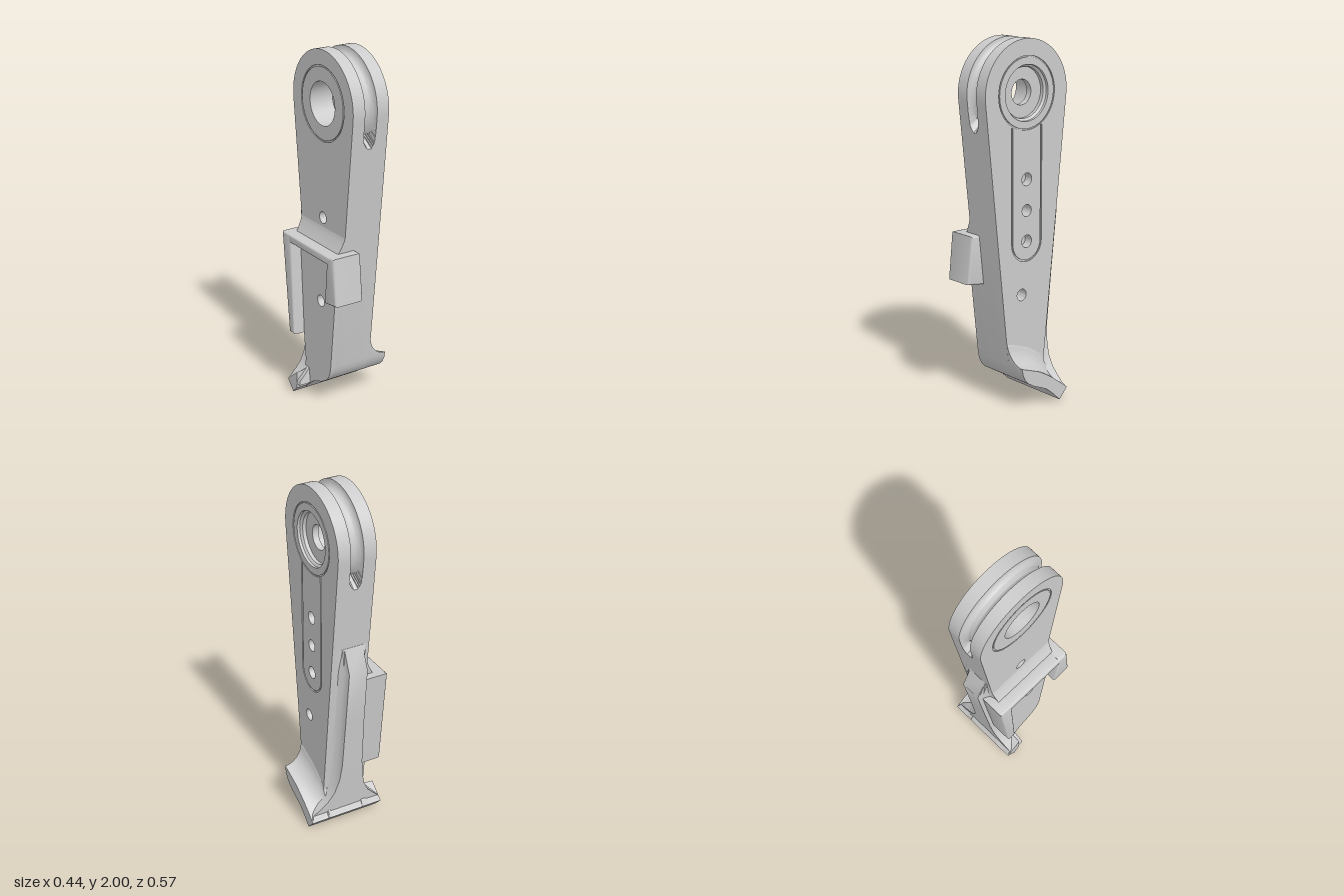
import * as THREE from 'three';
import { toCreasedNormals } from 'three/addons/utils/BufferGeometryUtils.js';

const HEAD_Y = 1.715, HEAD_R = 0.285, TAPER = 0.106;
const X_FACE = 0.11, X_FLOOR = 0.103, X_PLATE = -0.148;
const mat = new THREE.MeshStandardMaterial({ color: 0xcccccc, side: THREE.DoubleSide });

// Half depth of the tapering arm at a height
const half = (y) => 0.2834 - TAPER * (1.685 - y);
const lerp = THREE.MathUtils.lerp;

function add(group, name, geometry, crease = 0.6) {
  const mesh = new THREE.Mesh(toCreasedNormals(geometry, crease), mat);
  mesh.name = name;
  group.add(mesh);
  return mesh;
}

// Side profiles use (u, y) with u = -z and depth along x
const toSide = (g) => g.rotateY(Math.PI / 2);
const toUp = (g) => g.rotateX(-Math.PI / 2);

// Skin over rings of [a, b, w] points, counter-clockwise seen from +w
function loft(rings, capped = true) {
  const n = rings[0].length, index = [];
  for (let i = 0; i < rings.length - 1; i++) {
    for (let j = 0; j < n; j++) {
      const a = i * n + j, b = i * n + (j + 1) % n;
      index.push(a, b, b + n, a, b + n, a + n);
    }
  }
  if (capped) {
    [0, rings.length - 1].forEach((r) => {
      const pts = rings[r].map((p) => new THREE.Vector2(p[0], p[1]));
      for (const [a, b, c] of THREE.ShapeUtils.triangulateShape(pts, [])) {
        if (r) index.push(r * n + a, r * n + b, r * n + c);
        else index.push(a, c, b);
      }
    });
  }
  const g = new THREE.BufferGeometry();
  g.setAttribute('position', new THREE.Float32BufferAttribute(rings.flat(2), 3));
  g.setIndex(index);
  return g;
}

const shapeOf = (pts) => new THREE.Shape(pts.map((p) => new THREE.Vector2(p[0], p[1])));
function holed(pts, circles, extra = []) {
  const s = shapeOf(pts);
  for (const [u, y, r] of circles) s.holes.push(new THREE.Path().absarc(u, y, r, 0, Math.PI * 2, true));
  s.holes.push(...extra);
  return s;
}
function slab(shape, x0, x1, bevel = 0) {
  const g = new THREE.ExtrudeGeometry(shape, {
    depth: x1 - x0 - 2 * bevel, bevelEnabled: bevel > 0, bevelSize: bevel,
    bevelThickness: bevel, bevelOffset: -bevel, bevelSegments: 3, curveSegments: 24,
  });
  return toSide(g.translate(0, 0, x0 + bevel));
}
const face = (shape, x) => toSide(new THREE.ShapeGeometry(shape, 24).translate(0, 0, x));

// Turned surface about an x axis; points are [radius, x]
function turned(u, y, pts) {
  const g = new THREE.LatheGeometry(pts.map((p) => new THREE.Vector2(p[0], p[1])), 40);
  return g.rotateZ(-Math.PI / 2).translate(0, y, -u);
}

// Underside of the foot, front to back tip
const SOLE = [[-0.13, 0.245], [-0.122, 0.21], [-0.105, 0.175], [-0.08, 0.15], [-0.04, 0.126],
  [0, 0.11], [0.05, 0.088], [0.1, 0.048], [0.15, 0]];

function armOutline() {
  const pts = [], a = Math.atan(TAPER), N = 64;
  for (let i = 0; i <= N; i++) {
    const t = -a + (Math.PI + 2 * a) * i / N;
    pts.push([HEAD_R * Math.cos(t), HEAD_Y + HEAD_R * Math.sin(t)]);
  }
  const ys = [];
  for (let y = 1.67; y > 1.4; y -= 0.01) ys.push(y);
  ys.push(0.95);
  ys.forEach((y) => pts.push([-half(y), y]));
  pts.push(...SOLE, [0.205, 0.06], [0.135, 0.13], [half(0.2), 0.2]);
  ys.reverse().forEach((y) => pts.push([half(y), y]));
  return pts;
}

export function createModel() {
  const group = new THREE.Group();
  const outline = armOutline();
  const pin = [-0.035, 0.62, 0.033], mid = [0, 1.085, 0.033];
  const blind = [[0, 1.255, 0.035], [0, 0.915, 0.035]];

  // Rim of the arm, with a round rope groove cut around the head
  const xs = [-X_FACE, -0.037];
  for (let i = 1; i < 14; i++) xs.push(-0.037 * Math.cos(Math.PI * i / 14));
  xs.push(0.037, X_FLOOR);
  const rim = xs.map((x) => outline.map(([u, y]) => {
    const s = Math.sqrt(Math.max(0, 0.037 ** 2 - x * x)) * 1.15;
    const d = Math.hypot(u, y - HEAD_Y);
    if (y < 1.4 || s === 0 || d > HEAD_R + s) return [u, y, x];
    const k = Math.min(d, HEAD_R - s) / d;
    return [u * k, HEAD_Y + (y - HEAD_Y) * k, x];
  }));
  add(group, 'armRim', toSide(loft(rim, false)));

  // Long U-shaped line engraved on the outer face
  const slot = new THREE.Path();
  slot.moveTo(-0.107, 1.54).lineTo(-0.107, 0.91);
  slot.absarc(0, 0.91, 0.107, Math.PI, Math.PI * 2, false);
  slot.lineTo(0.107, 1.54).lineTo(0.098, 1.54).lineTo(0.098, 0.91);
  slot.absarc(0, 0.91, 0.098, Math.PI * 2, Math.PI, true);
  slot.lineTo(-0.098, 1.54);
  const outerHoles = [[0, HEAD_Y, 0.196], pin, mid, ...blind];
  add(group, 'outerFace', slab(holed(outline, outerHoles, [slot]), X_FLOOR, X_FACE));
  add(group, 'engravingFloor', face(holed(outline, outerHoles), X_FLOOR));
  add(group, 'innerFace', face(holed(outline, [[0, HEAD_Y, 0.203], pin, mid]), -X_FACE));

  // Pivot bore with stepped seat, counterbore and face rings
  add(group, 'pivotBore', turned(0, HEAD_Y, [[0.196, X_FACE], [0.196, 0.104], [0.189, 0.104],
    [0.189, X_FACE], [0.15, X_FACE], [0.15, 0.095], [0.137, 0.085], [0.137, 0.065], [0.068, 0.065],
    [0.068, 0.03], [0.118, 0.03], [0.118, -X_FACE], [0.195, -X_FACE], [0.195, -0.104],
    [0.203, -0.104], [0.203, -X_FACE]]));
  for (const [u, y, r] of [pin, mid]) add(group, 'pinHole', turned(u, y, [[r, X_FACE], [r, -X_FACE]]));
  for (const [u, y, r] of blind) add(group, 'blindHole', turned(u, y, [[r, X_FACE], [r, 0.06], [0, 0.06]]));

  // Thicker lower plate on the inner face, with a cove running up to the arm
  const lower = outline.filter((p) => p[1] <= 0.95);
  add(group, 'lowerPlate', slab(holed(lower, [pin]), X_PLATE, -X_FACE));
  const cove = [];
  for (let i = 0; i <= 8; i++) {
    const t = i / 8 * Math.PI / 2, y = 0.95 + 0.085 * Math.sin(t), w = half(y);
    const x = -X_FACE - 0.038 * (1 - Math.sin(t)) ** 1.3;
    cove.push([[x, -w, y], [-0.1, -w, y], [-0.1, w, y], [x, w, y]]);
  }
  add(group, 'plateCove', toUp(loft(cove)));

  // Foot wing on the left, coved into the arm
  const top = [[0.205, 0.06, 0], [0.15, 0.103, 0.6], [0.1, 0.14, 1], [0.05, 0.172, 1],
    [0, 0.2, 1], [-0.06, 0.222, 1], [-0.129, 0.246, 1]];
  const wing = [];
  for (let i = 0; i <= 12; i++) {
    const c = 1 - Math.cos(i / 12 * Math.PI / 2);
    const x = i === 0 ? 0.1 : X_FACE + 0.11 * c;
    const h = 0.13 * (1 - Math.sin(i / 12 * Math.PI / 2));
    const upper = top.map(([u, y, k], j) => [u - (j === 6 ? TAPER * h : 0), y + h * k, x]);
    wing.push([...SOLE.map(([u, y]) => [u, y, x]), ...upper]);
  }
  add(group, 'footWing', toSide(loft(wing)));

  // Short toe on the right side of the foot
  const toe = [[-0.22, 0], [-0.18, 0.004], [-0.145, 0.015], [-0.1, 0.05]].map(([x, h]) => [
    [0.11, 0.04, x], [0.15, 0, x], [0.205, 0.06, x], [0.165, 0.092 + h, x], [0.11, 0.138 + h, x]]);
  add(group, 'footToe', toSide(loft(toe)));

  // Back rib with coved sides, flaring into the foot: [y, outer u, right x, left x]
  const ribRows = [[0.065, 0.2, -0.218, 0.218], [0.09, 0.184, -0.212, 0.205], [0.12, 0.187, -0.18, 0.165],
    [0.16, 0.192, -0.142, 0.118], [0.22, 0.199, -0.112, 0.078], [0.3, 0.208, -0.095, 0.053],
    [0.4, 0.2185, -0.085, 0.042], [0.7, 0.25, -0.075, 0.04], [1.03, 0.285, -0.07, 0.04],
    [1.16, 0.229, -0.07, 0.04]];
  const rib = ribRows.map(([y, out, x0, x1]) => {
    const base = Math.min(half(y), out - 0.001), d = out - base;
    const e0 = Math.min(y < 0.95 ? -0.14 : -0.11, x0 - 0.001), e1 = Math.max(0.11, x1 + 0.001);
    const right = [[0.45, 0.12], [0.14, 0.45], [0, 0.8]];
    const side = (x, e) => right.map(([k, v]) => [lerp(x, e, k), base + d * v, y]);
    return [[e0, base - 0.03, y], [e1, base - 0.03, y], [e1, base, y], ...side(x1, e1),
      [x1, out, y], [x0, out, y], ...side(x0, e0).reverse(), [e0, base, y]];
  });
  add(group, 'backRib', toUp(loft(rib)));

  // Clip bracket hugging the lower plate: bar, front tab and long back arm
  const bracket = new THREE.Group();
  bracket.name = 'clipBracket';
  group.add(bracket);
  add(bracket, 'clipBar', slab(shapeOf([[-0.235, 0.905], [0.235, 0.905], [0.235, 0.95], [-0.235, 0.95]]),
    -0.215, -0.12, 0.01));
  add(bracket, 'clipFrontTab', slab(shapeOf([[-0.283, 0.688], [-0.17, 0.672], [-0.195, 0.952],
    [-0.256, 0.952]]), -0.215, -0.04, 0.014));
  add(bracket, 'clipBackArm', slab(shapeOf([[0.14, 0.36], [0.192, 0.36], [0.252, 0.95], [0.17, 0.95]]),
    -0.215, -0.065, 0.012));

  return group;
}
